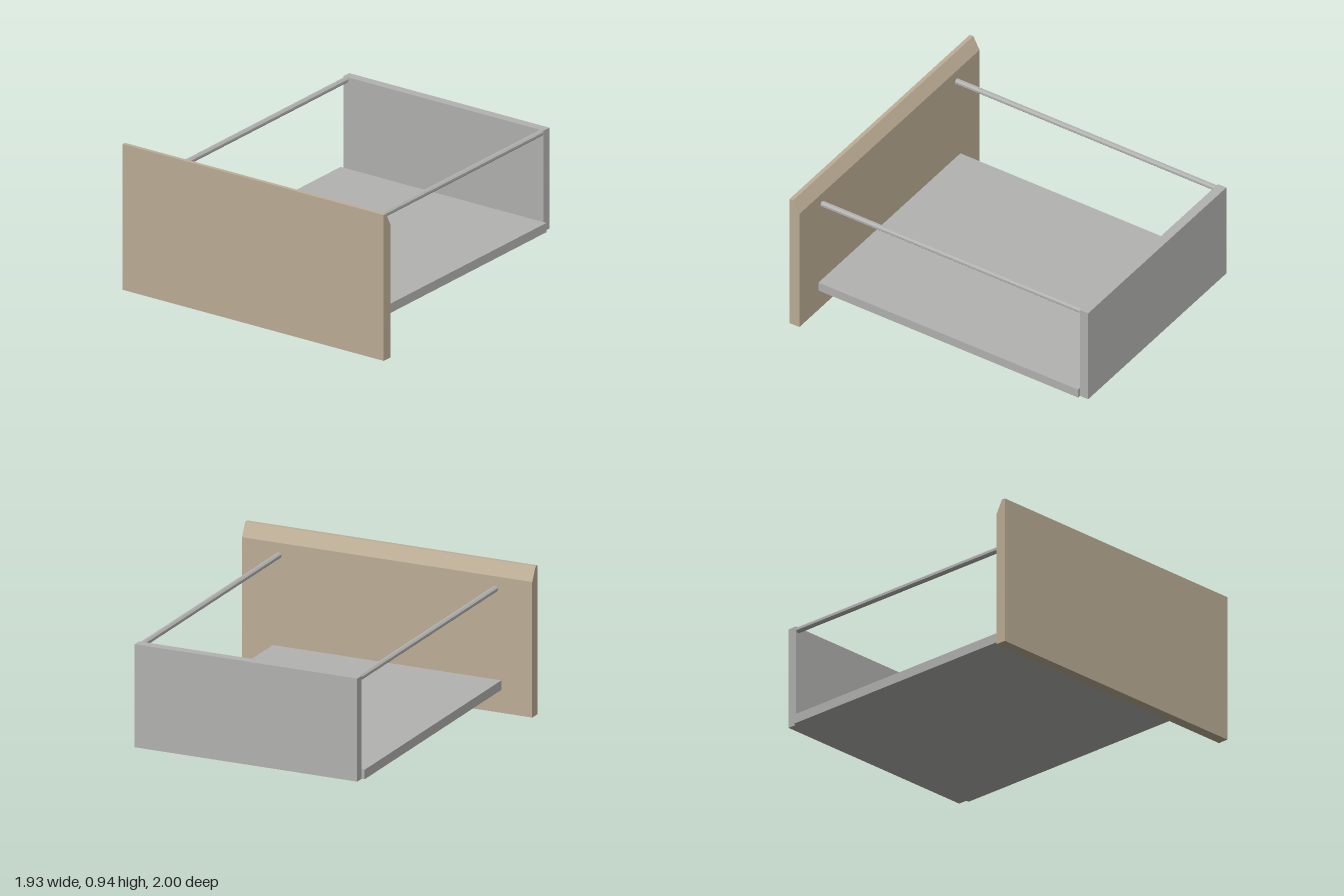
import * as THREE from 'three';

export function createModel() {
  const group = new THREE.Group();
  const wood = new THREE.MeshStandardMaterial({ color: 0xbdae96 });
  wood.name = 'tan wood';
  const grey = new THREE.MeshStandardMaterial({ color: 0xb2b2b0, flatShading: true });
  grey.name = 'light grey';

  const add = (name, geometry, material, x, y, z) => {
    const mesh = new THREE.Mesh(geometry, material);
    mesh.name = name;
    mesh.position.set(x, y, z);
    group.add(mesh);
    return mesh;
  };

  // Front panel: side profile (shape x = -z) with the rear top edge bevelled
  const width = 1.93;
  const profile = new THREE.Shape([
    [-1, 0], [-0.93, 0], [-0.93, 0.855], [-0.975, 0.94], [-1, 0.94],
  ].map(([x, y]) => new THREE.Vector2(x, y)));
  const front = new THREE.ExtrudeGeometry(profile, { depth: width, bevelEnabled: false });
  front.translate(0, 0, -width / 2).rotateY(Math.PI / 2);
  add('frontPanel', front, wood, 0, 0, 0);

  // Drawer floor and back board
  add('floor', new THREE.BoxGeometry(1.52, 0.06, 1.87), grey, 0, 0.175, -0.005);
  add('backPanel', new THREE.BoxGeometry(1.48, 0.65, 0.06), grey, 0, 0.47, -0.97);

  // Side rails running from the back board to the front panel
  const rail = new THREE.CylinderGeometry(0.019, 0.019, 1.87, 8);
  rail.rotateY(Math.PI / 8).rotateX(Math.PI / 2);
  for (const side of [-1, 1]) {
    add(side > 0 ? 'leftRail' : 'rightRail', rail, grey, side * 0.72, 0.777, -0.005);
  }

  return group;
}
